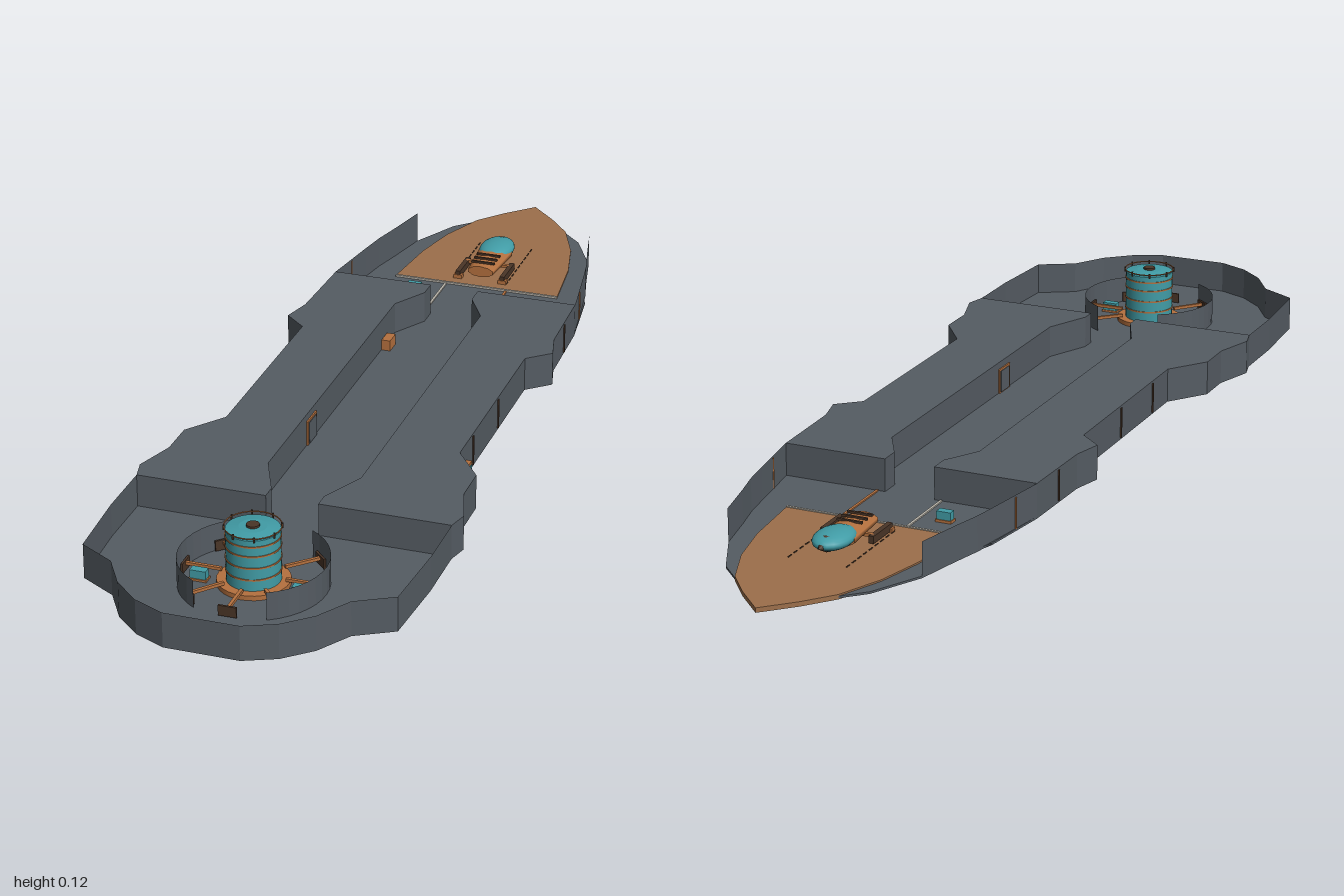
import * as THREE from 'three';

const mat = (name, color, double) => {
  const m = new THREE.MeshStandardMaterial({ color });
  m.name = name;
  if (double) m.side = THREE.DoubleSide;
  return m;
};

export function createModel() {
  const root = new THREE.Group();
  root.name = 'shipDeckSection';
  const hull = mat('hullGrey', 0x555c63, true);
  const copper = mat('copperDeck', 0x9c6f4b);
  const orange = mat('orangeTrim', 0xb5713f);
  const teal = mat('tealGlass', 0x419ca6);
  const dark = mat('darkBronze', 0x4a3527);
  const pale = mat('paleMetal', 0xb9b4aa);
  const TOP = 0.07, FLOOR = 0.006;

  const add = (name, geo, m, x = 0, y = 0, z = 0, parent = root) => {
    const mesh = new THREE.Mesh(geo, m);
    mesh.name = name;
    mesh.position.set(x, y, z);
    parent.add(mesh);
    return mesh;
  };
  const box = (name, w, h, d, m, x, y, z, parent) =>
    add(name, new THREE.BoxGeometry(w, h, d), m, x, y, z, parent);
  // extrude a plan outline of [x, z] points upward
  const slab = (name, pts, y, h, m) => {
    const s = new THREE.Shape(pts.map(([x, z]) => new THREE.Vector2(x, -z)));
    const g = new THREE.ExtrudeGeometry(s, { depth: h, bevelEnabled: false });
    return add(name, g.rotateX(-Math.PI / 2), m, 0, y, 0);
  };
  const mirror = pts => pts.map(([x, z]) => [-x, z]);
  const both = pts => [...pts, ...mirror(pts).reverse()];

  // half outline of the hull, bow to stern
  const bow = [[0.235, -0.54], [0.225, -0.6], [0.21, -0.66], [0.19, -0.75]].reverse();
  const mid = [[0.255, -0.41], [0.26, -0.24], [0.275, -0.18], [0.23, -0.14], [0.23, 0.28],
    [0.285, 0.355], [0.285, 0.43], [0.31, 0.51], [0.3, 0.55]];
  const stern = [[0.3, 0.67], [0.29, 0.82], [0.22, 0.86], [0.18, 0.925], [0.13, 0.97], [0.07, 0.997]];
  const tip = [[0.1, -0.89], [0.14, -0.85]];
  const plate = [[0, -1], [0.055, -0.945], [0.1, -0.89], [0.137, -0.8], [0.16, -0.7], [0.175, -0.56]];

  // deck floor, notched round the bow plate
  const notch = plate.slice(2).reverse();
  slab('mainFloor', both([[0.175, -0.56], [0.235, -0.56], ...mid, ...stern]), 0.002, FLOOR - 0.002, hull);
  for (const f of [p => p, mirror])
    slab('bowSideFloor', f([...tip, ...bow, [0.235, -0.56], ...notch.slice(0, -1)]), 0.002, FLOOR - 0.002, hull);
  slab('bowPlate', both(plate.slice(1)).concat([[0, -1]]), 0, 0.009, copper);

  // solid side blocks with the central corridor between them
  const corridor = [[0.05, 0.55], [0.05, 0.52], [0.09, 0.43], [0.09, -0.3], [0.05, -0.37], [0.05, -0.41]];
  for (const f of [p => p, mirror])
    slab('sideBlock', f([...mid, ...corridor]), FLOOR, TOP - FLOOR, hull);

  // thin upright walls along a path
  const wall = (name, pts, y0, y1, m) => {
    const pos = [], idx = [];
    for (let i = 0; i < pts.length - 1; i++) {
      const [a, b] = [pts[i], pts[i + 1]];
      pos.push(a[0], y0, a[1], b[0], y0, b[1], b[0], y1, b[1], a[0], y1, a[1]);
      idx.push(4 * i, 4 * i + 2, 4 * i + 1, 4 * i, 4 * i + 3, 4 * i + 2);
    }
    const g = new THREE.BufferGeometry();
    g.setAttribute('position', new THREE.Float32BufferAttribute(pos, 3));
    g.setIndex(idx);
    g.computeVertexNormals();
    return add(name, g, m);
  };
  wall('sternWall', both([[0.3, 0.55], ...stern]), 0.002, TOP, hull);
  for (const f of [p => p, mirror])
    wall('bowWall', f([...bow, [0.255, -0.41]]), 0.002, TOP, hull);

  // gun tower at the stern
  const tower = new THREE.Group();
  tower.name = 'tower';
  tower.position.set(0, 0, 0.745);
  root.add(tower);
  const cyl = (name, r0, r1, h, m, y, n = 32) =>
    add(name, new THREE.CylinderGeometry(r1, r0, h, n), m, 0, y + h / 2, 0, tower);
  cyl('towerFoot', 0.066, 0.066, 0.014, orange, 0.001);
  cyl('towerBody', 0.049, 0.049, 0.108, teal, 0.006);
  cyl('towerCap', 0.048, 0.025, 0.004, teal, 0.114);
  cyl('towerHatch', 0.012, 0.012, 0.005, dark, 0.117, 16);
  for (const y of [0.035, 0.058, 0.081, 0.1]) cyl('towerBand', 0.0505, 0.0505, 0.003, orange, y);
  const rail = add('topRail', new THREE.TorusGeometry(0.051, 0.0012, 6, 32), orange, 0, 0.119, 0, tower);
  rail.rotation.x = Math.PI / 2;
  for (let i = 0; i < 8; i++) {
    const a = (i + 0.5) * Math.PI / 4;
    box('railPost', 0.003, 0.01, 0.003, dark, Math.cos(a) * 0.051, 0.117, Math.sin(a) * 0.051, tower);
  }

  // curved screens, spokes and crates round the tower
  for (const s of [1, -1]) {
    const arc = [];
    for (let i = 0; i <= 14; i++) {
      const a = -1.05 + i * 0.15;
      arc.push([s * Math.cos(a) * 0.135, 0.745 + Math.sin(a) * 0.135]);
    }
    wall('towerScreen', arc, FLOOR, 0.06, hull);
    box('crate', 0.03, 0.016, 0.016, teal, s * 0.095, 0.018, 0.02, tower);
    box('crateBase', 0.034, 0.004, 0.02, orange, s * 0.095, 0.008, 0.02, tower);
  }
  for (const deg of [0, 45, 135, 180, 230, 270, 310]) {
    const spoke = new THREE.Group();
    spoke.name = 'spoke';
    spoke.rotation.y = THREE.MathUtils.degToRad(deg);
    tower.add(spoke);
    box('spokeArm', 0.07, 0.006, 0.006, orange, 0.095, 0.022, 0, spoke);
    box('spokeEnd', 0.004, 0.02, 0.034, dark, 0.129, 0.018, 0, spoke);
  }

  // small craft parked on the bow plate
  const craft = new THREE.Group();
  craft.name = 'craft';
  craft.position.set(0, 0, -0.68);
  root.add(craft);
  const canopy = add('canopy', new THREE.SphereGeometry(1, 20, 12), teal, 0, 0.032, -0.03, craft);
  canopy.scale.set(0.036, 0.017, 0.053);
  const nose = add('nose', new THREE.ConeGeometry(0.016, 0.03, 12), dark, 0, 0.031, -0.076, craft);
  nose.rotation.x = -Math.PI / 2;
  const body = add('body', new THREE.CylinderGeometry(0.037, 0.028, 0.11, 10), orange, 0, 0.028, 0.033, craft);
  body.rotation.x = -Math.PI / 2;
  body.scale.z = 0.42;
  for (const z of [0.03, 0.05, 0.07]) box('bodyRib', 0.05, 0.004, 0.005, dark, 0, 0.042, z, craft);
  for (const s of [1, -1]) {
    box('runner', 0.01, 0.014, 0.075, dark, s * 0.048, 0.018, 0.055, craft);
    box('runnerStrut', 0.024, 0.006, 0.008, orange, s * 0.037, 0.022, 0.03, craft);
    box('runnerFoot', 0.018, 0.008, 0.012, orange, s * 0.048, 0.013, 0.088, craft);
  }

  // guide lines on the foredeck, and its sill
  for (const s of [1, -1]) {
    box('guideLine', 0.005, 0.003, 0.145, s > 0 ? orange : pale, s * 0.065, FLOOR + 0.001, -0.485);
    for (let i = 0; i < 9; i++)
      box('plateDash', 0.002, 0.002, 0.012, dark, s * 0.057, 0.0095, -0.77 + i * 0.022);
  }
  box('plateSill', 0.35, 0.004, 0.005, pale, 0, 0.009, -0.56);

  // crates, corridor doors and hull fittings
  box('deckCrate', 0.028, 0.018, 0.016, teal, -0.115, 0.018, -0.5);
  box('deckCrateBase', 0.032, 0.005, 0.02, orange, -0.115, 0.009, -0.5);
  box('corridorCrate', 0.018, 0.022, 0.035, orange, -0.08, 0.018, -0.23);
  for (const s of [1, -1]) {
    box('doorFrame', 0.004, 0.05, 0.05, orange, s * 0.089, 0.031, 0.2);
    box('door', 0.004, 0.044, 0.04, hull, s * 0.0875, 0.03, 0.2);
    for (const [x, z] of [[0.231, 0.04], [0.231, 0.2], [0.2585, -0.32]])
      box('hullSeam', 0.003, 0.06, 0.004, dark, s * x, 0.036, z);
    box('bowSeam', 0.003, 0.06, 0.004, orange, s * 0.245, 0.036, -0.48);
  }
  box('hullPort', 0.012, 0.022, 0.018, orange, 0.235, 0.025, 0.25);
  box('hullPortGlass', 0.003, 0.01, 0.01, teal, 0.241, 0.025, 0.25);
  return root;
}
